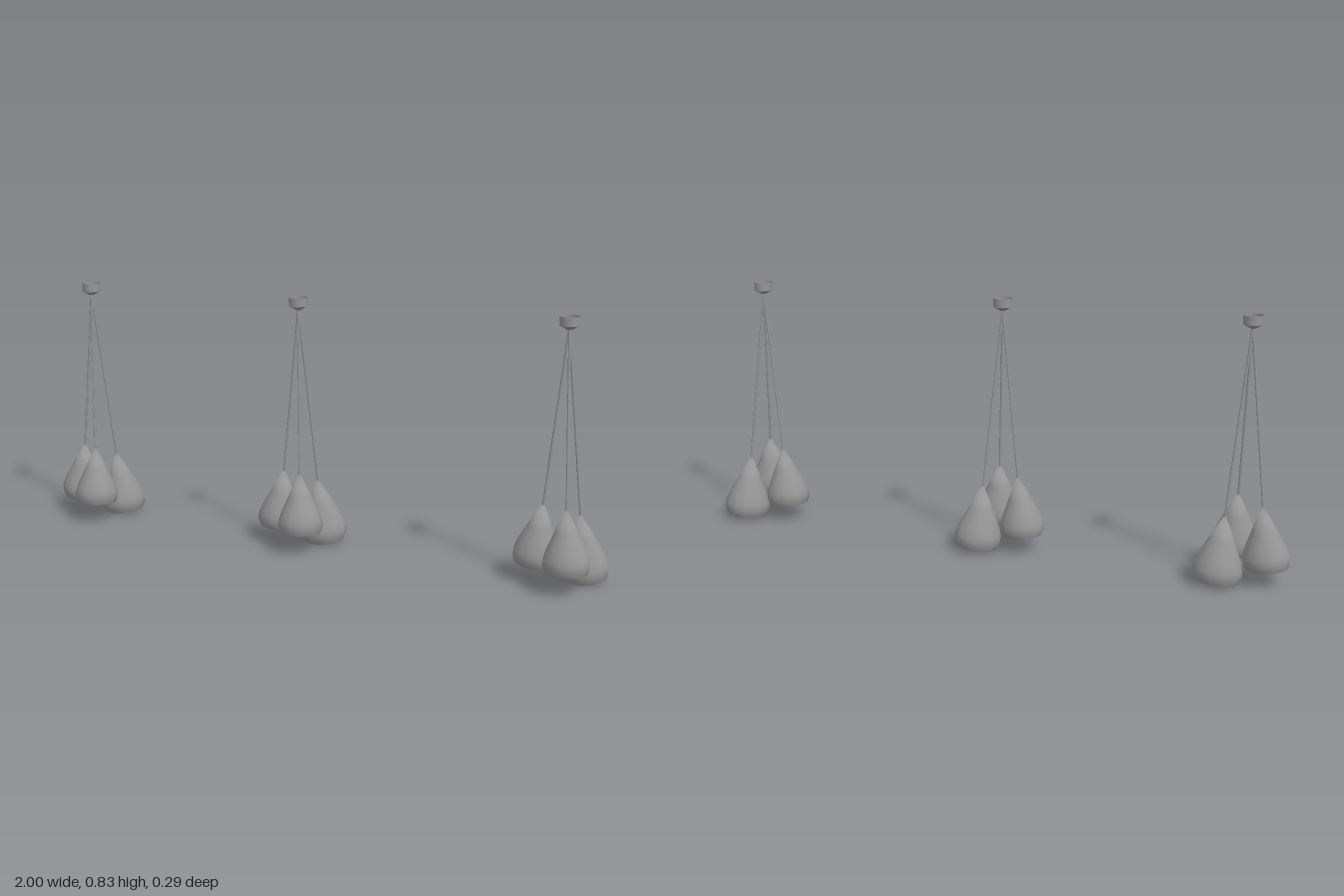
import * as THREE from 'three';

const paint = (color) => new THREE.MeshStandardMaterial({ color, side: THREE.DoubleSide });
const grey = paint(0x959595);
const darkGrey = paint(0x5c5c5c);
const SIDES = 12;
const CORD_TOP = 0.797;

// Lathe profiles are [radius, height], with the shade's tip at the origin.
const lathe = (profile) =>
  new THREE.LatheGeometry(profile.map(([r, y]) => new THREE.Vector2(r, y)), SIDES);

const shadeOuter = lathe([
  [0.067, -0.199], [0.073, -0.187], [0.076, -0.172], [0.075, -0.157], [0.069, -0.137],
  [0.060, -0.115], [0.050, -0.093], [0.039, -0.070], [0.028, -0.047], [0.016, -0.024], [0.004, 0],
]);
const shadeRim = lathe([[0.059, -0.197], [0.067, -0.199]]);
const shadeInner = lathe([
  [0.004, -0.012], [0.025, -0.050], [0.046, -0.093], [0.064, -0.137],
  [0.070, -0.165], [0.066, -0.187], [0.059, -0.197],
]);

// Turn the normals upward towards the tip, so it shades as a rounded point.
const position = shadeOuter.attributes.position;
const normals = shadeOuter.attributes.normal;
const up = new THREE.Vector3(0, 1, 0);
for (let i = 0; i < position.count; i++) {
  const blend = THREE.MathUtils.clamp(1 + position.getY(i) / 0.07, 0, 1);
  const n = new THREE.Vector3().fromBufferAttribute(normals, i).normalize().lerp(up, blend).normalize();
  normals.setXYZ(i, n.x, n.y, n.z);
}

// Ceiling cup: open cylinder above a shallow funnel.
const cupWall = new THREE.CylinderGeometry(0.031, 0.031, 0.028, SIDES, 1, true).translate(0, 0.820, 0);
const cupFunnel = new THREE.CylinderGeometry(0.031, 0.007, 0.013, SIDES, 1, true).translate(0, 0.7995, 0);

function addMesh(parent, geometry, name, material = grey) {
  const mesh = new THREE.Mesh(geometry, material);
  mesh.name = name;
  parent.add(mesh);
  return mesh;
}

// One cord with a shade hanging in line with it.
function createPendant(tip, shadeSize) {
  const pendant = new THREE.Group();
  pendant.name = 'pendant';
  const direction = new THREE.Vector3(0, CORD_TOP, 0).sub(tip);
  const length = direction.length() + 0.006;
  pendant.position.copy(tip);
  pendant.quaternion.setFromUnitVectors(up, direction.normalize());

  const cord = new THREE.CylinderGeometry(0.004, 0.004, length, 8).translate(0, length / 2 - 0.006, 0);
  addMesh(pendant, cord, 'cord');

  const shade = new THREE.Group();
  shade.name = 'shade';
  shade.scale.setScalar(shadeSize);
  addMesh(shade, shadeOuter, 'shadeShell');
  addMesh(shade, shadeRim, 'shadeRim');
  addMesh(shade, shadeInner, 'shadeLining', darkGrey);
  pendant.add(shade);
  return pendant;
}

// A cluster of three pendants from one ceiling cup.
function createCluster(x) {
  const cluster = new THREE.Group();
  cluster.name = 'lampCluster';
  cluster.position.x = x;
  addMesh(cluster, cupWall, 'ceilingCup');
  addMesh(cluster, cupFunnel, 'ceilingCupFunnel');
  const pendants = [
    { tip: [0.032, 0.254, 0.055], size: 0.97 },
    { tip: [-0.061, 0.242, -0.013], size: 0.975 },
    { tip: [0.047, 0.211, -0.052], size: 1.03 },
  ];
  for (const { tip, size } of pendants) cluster.add(createPendant(new THREE.Vector3(...tip), size));
  return cluster;
}

export function createModel() {
  const model = new THREE.Group();
  model.name = 'pendantLamps';
  for (const x of [-0.847, -0.036, 0.862]) model.add(createCluster(x));
  return model;
}
